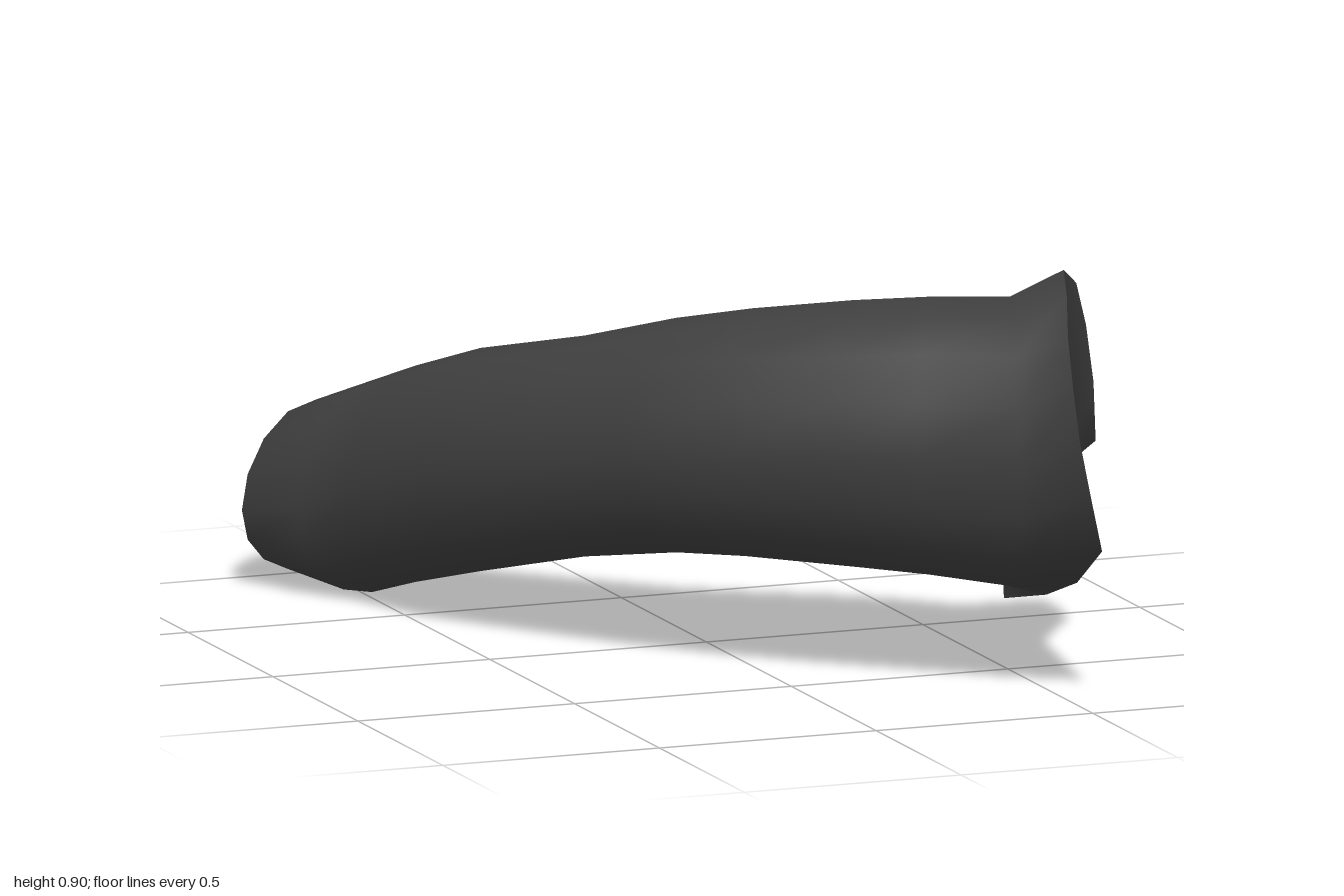
import * as THREE from 'three';

const SIDES = 16;

// Cross-sections from tip to base: left x,z, right x,z, top y, bottom y, sag of the sides
const SECTIONS = [
  [-0.69, -0.935, -0.45, -0.975, 0.33, 0.09, 0.03],
  [-0.725, -0.885, -0.37, -0.91, 0.40, 0.025, 0.04],
  [-0.66, -0.72, -0.295, -0.78, 0.465, 0.0, 0.03],
  [-0.6, -0.57, -0.26, -0.66, 0.52, 0.045, 0.01],
  [-0.545, -0.3, -0.2, -0.46, 0.6, 0.11, 0],
  [-0.4, 0.0, -0.06, -0.26, 0.665, 0.18, 0],
  [-0.28, 0.22, 0.08, -0.06, 0.735, 0.22, 0],
  [-0.14, 0.41, 0.18, 0.04, 0.775, 0.23, 0],
  [0.05, 0.6, 0.33, 0.16, 0.81, 0.225, 0],
  [0.2, 0.73, 0.44, 0.26, 0.83, 0.22, 0],
  [0.38, 0.88, 0.53, 0.37, 0.845, 0.21, 0],
];

// Flared, uneven rim of the cut end, starting at the top
const RIM = [
  [0.57, 0.9, 0.65], [0.53, 0.87, 0.77], [0.49, 0.8, 0.88], [0.47, 0.71, 0.96],
  [0.47, 0.6, 1.0], [0.5, 0.47, 0.99], [0.545, 0.34, 0.94], [0.55, 0.24, 0.78],
  [0.53, 0.19, 0.65], [0.475, 0.165, 0.54], [0.51, 0.21, 0.48], [0.59, 0.375, 0.44],
  [0.73, 0.47, 0.43], [0.725, 0.6, 0.43], [0.7, 0.73, 0.45], [0.65, 0.84, 0.52],
];
const TIP = [-0.575, 0.2, -1.0];
const CUT_CENTRE = [0.58, 0.52, 0.68];

function sectionRing([lx, lz, rx, rz, top, bottom, sag]) {
  return Array.from({ length: SIDES }, (_, j) => {
    const a = (j / SIDES) * Math.PI * 2;
    const c = Math.cos(a), s = Math.sin(a);
    return [
      (lx + rx) / 2 + ((lx - rx) / 2) * s,
      (top + bottom) / 2 + ((top - bottom) / 2) * c - sag * s * s,
      (lz + rz) / 2 + ((lz - rz) / 2) * s,
    ];
  });
}

function makeMesh(name, points, index, material) {
  const g = new THREE.BufferGeometry();
  g.setAttribute('position', new THREE.Float32BufferAttribute(points.flat(), 3));
  g.setIndex(index);
  g.computeVertexNormals();
  const mesh = new THREE.Mesh(g, material);
  mesh.name = name;
  return mesh;
}

export function createModel() {
  const group = new THREE.Group();
  group.name = 'bentLimb';
  const material = new THREE.MeshStandardMaterial({ color: 0x404040 });

  // Smooth limb: rings joined along the bend, closed by a rounded tip
  const rings = [...SECTIONS.map(sectionRing), RIM];
  const points = [...rings.flat(), TIP];
  const tip = points.length - 1;
  const index = [];
  for (let j = 0; j < SIDES; j++) {
    const k = (j + 1) % SIDES;
    index.push(tip, k, j);
    for (let i = 0; i < rings.length - 1; i++) {
      const a = i * SIDES, b = a + SIDES;
      index.push(a + j, a + k, b + j, a + k, b + k, b + j);
    }
  }
  group.add(makeMesh('limb', points, index, material));

  // Cut end: a fan with its own normals, so the rim stays sharp
  const fan = [];
  for (let j = 0; j < SIDES; j++) fan.push(SIDES, j, (j + 1) % SIDES);
  group.add(makeMesh('cutEnd', [...RIM, CUT_CENTRE], fan, material));

  return group;
}
